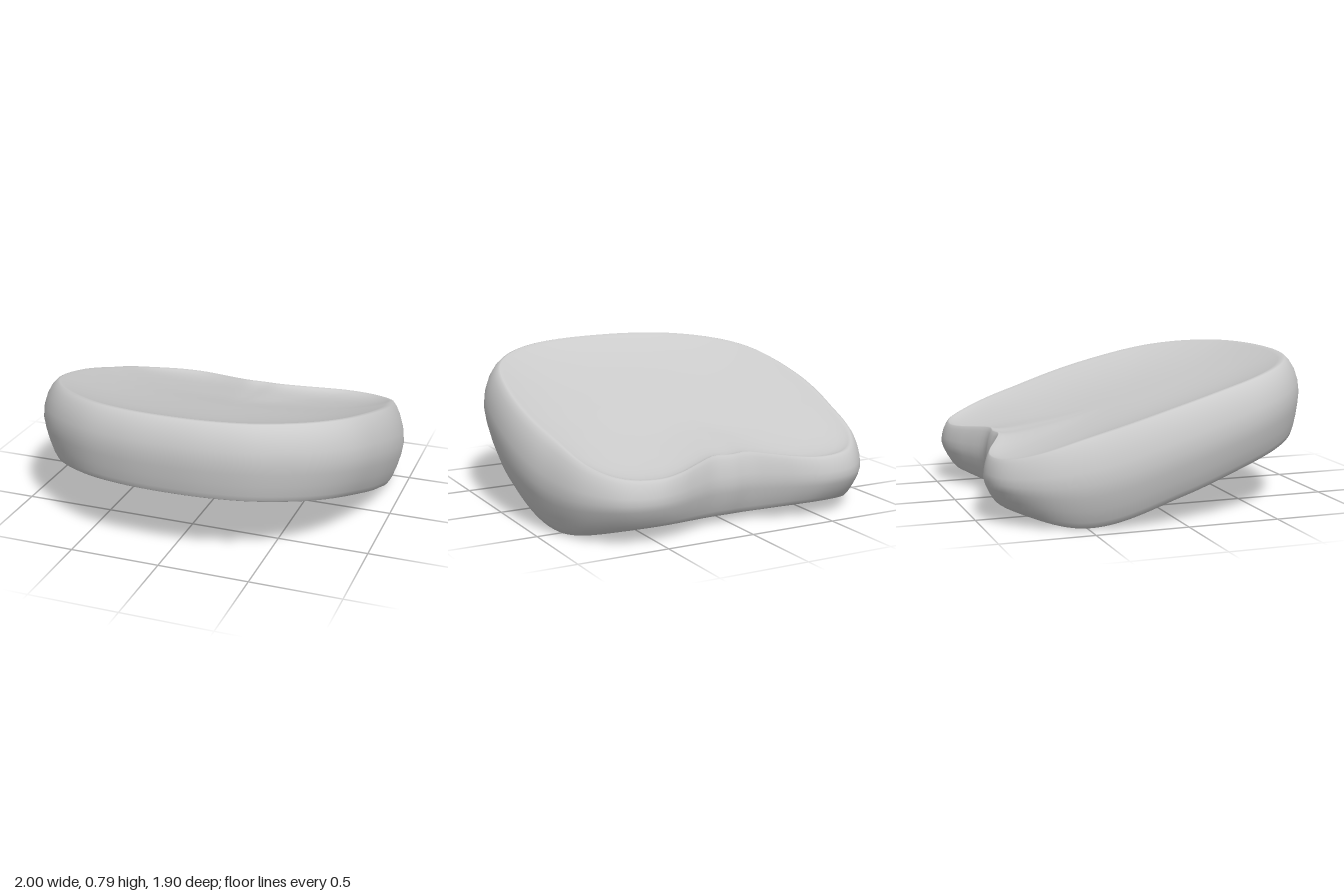
import * as THREE from 'three';

// Half of the plan outline (x, z), from the rear notch round to the front
const HALF = [[0, -0.815], [0.1, -0.806], [0.24, -0.858], [0.38, -0.92], [0.52, -0.953], [0.7, -0.915], [0.86, -0.75],
  [0.96, -0.47], [1, -0.15], [0.975, 0.2], [0.9, 0.48], [0.75, 0.69], [0.5, 0.86], [0.25, 0.93], [0, 0.947]];

// Rim heights at z = -1, -0.5, 0, 0.5, 1
const heights = (list) => {
  const curve = new THREE.SplineCurve(list.map((y, i) => new THREE.Vector2(-1 + i * 0.5, y)));
  return (z) => curve.getPoint((z + 1) / 2).y;
};
const topRim = heights([0.33, 0.475, 0.625, 0.745, 0.81]);
const bottomRim = heights([0.11, 0.005, 0.145, 0.3, 0.4]);

// Side wall cross-section from lower to upper rim: [plan scale, height fraction]
const WALL = [[0.91, 0], [0.925, 0.01], [0.945, 0.08], [0.97, 0.22], [0.99, 0.38], [1, 0.52],
  [0.993, 0.67], [0.972, 0.82], [0.945, 0.93], [0.92, 0.99], [0.905, 1]];
// Plan scales of the rings inside the rims
const FACE = [0.001, 0.1, 0.2, 0.3, 0.4, 0.5, 0.6, 0.68, 0.75, 0.81, 0.85, 0.88];
const PROFILE = [...FACE.map((s) => [s, 0]), ...WALL, ...[...FACE].reverse().map((s) => [s, 1])];

function cushionGeometry(segments = 160) {
  const { smoothstep, lerp } = THREE.MathUtils;
  const mirrored = HALF.slice(1, -1).reverse().map(([x, z]) => [-x, z]);
  const outline = new THREE.CatmullRomCurve3(
    [...HALF, ...mirrored].map(([x, z]) => new THREE.Vector3(x, 0, z)), true).getSpacedPoints(segments);
  const positions = [], index = [];
  PROFILE.forEach(([s, v]) => {
    // both faces sink in a broad dish inside their rims
    const dish = Math.max(0, 1 - Math.pow(s / 0.905, 3));
    const sink = dish * (v < 0.5 ? -0.11 : 0.1);
    for (let i = 0; i < segments; i++) {
      const p = outline[i];
      // the lower front and upper rear edges are less tucked in
      const tight = v < 0.5 ? smoothstep(p.z, 0.3, 0.95) : smoothstep(-p.z, 0.4, 0.9);
      const scale = Math.pow(s, 1 - 0.55 * tight * smoothstep(s, 0.5, 0.92));
      const x = p.x * scale, z = p.z * scale;
      positions.push(x, lerp(bottomRim(z), topRim(z), v) - sink, z);
    }
  });
  for (let r = 0; r < PROFILE.length - 1; r++) {
    for (let i = 0; i < segments; i++) {
      const j = (i + 1) % segments;
      const a = r * segments + i, b = r * segments + j;
      const c = a + segments, d = b + segments;
      index.push(a, c, b, b, c, d);
    }
  }
  const geometry = new THREE.BufferGeometry();
  geometry.setAttribute('position', new THREE.Float32BufferAttribute(positions, 3));
  geometry.setIndex(index);
  geometry.computeVertexNormals();
  // rest on the ground
  geometry.computeBoundingBox();
  geometry.translate(0, -geometry.boundingBox.min.y, 0);
  return geometry;
}

export function createModel() {
  const group = new THREE.Group();
  group.name = 'seatCushion';
  const material = new THREE.MeshStandardMaterial({ color: 0xcccccc, side: THREE.DoubleSide });
  const cushion = new THREE.Mesh(cushionGeometry(), material);
  cushion.name = 'cushion';
  group.add(cushion);
  return group;
}
